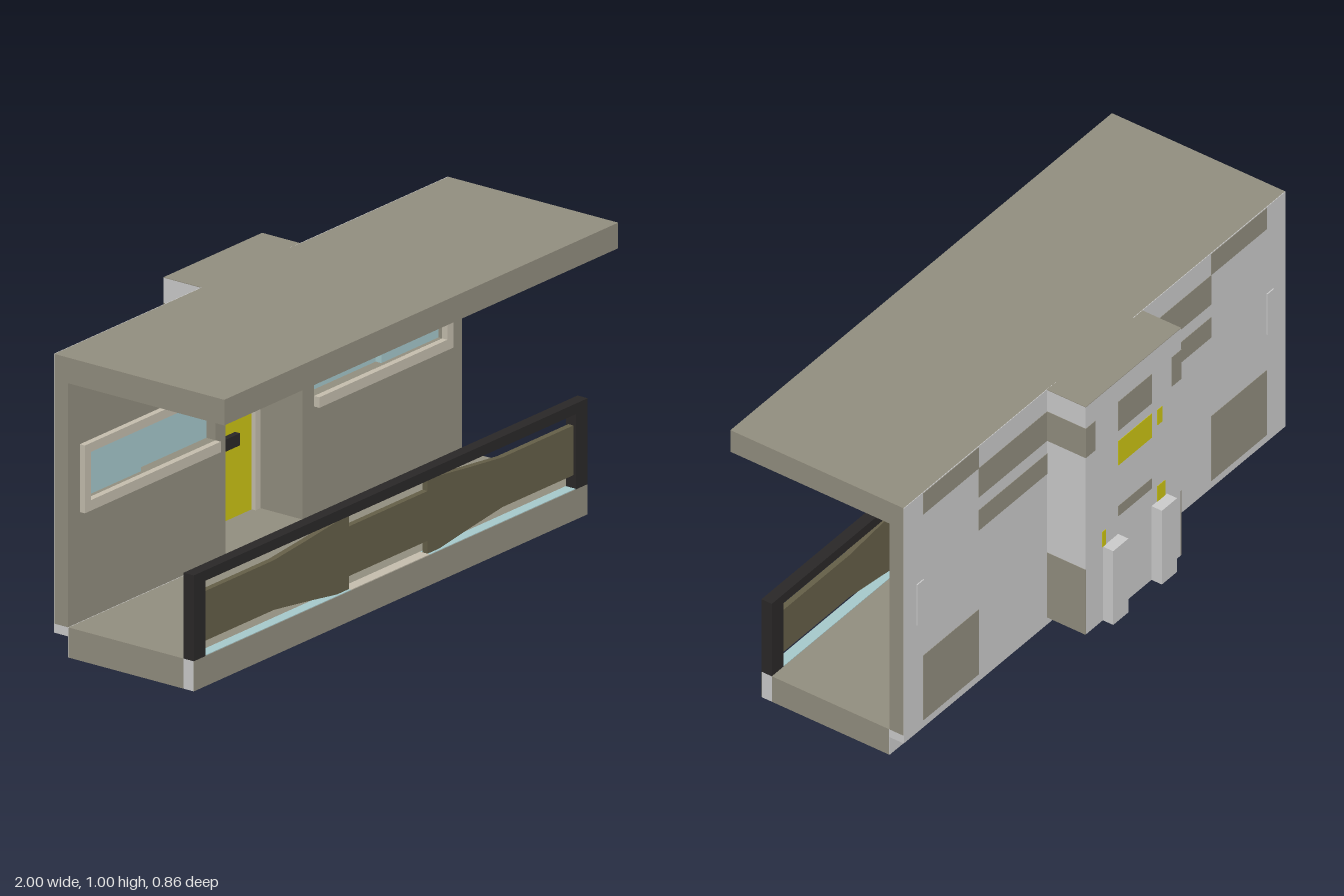
import * as THREE from 'three';

const mat = (color) => new THREE.MeshStandardMaterial({ color });
const M = {
  grey: mat(0xcccccc), brown: mat(0x928e7f), trim: mat(0xc5beae), yellow: mat(0xccc514),
  glass: mat(0xa6c9cc), black: mat(0x2a2828), panel: mat(0x655f48),
};

export function createModel() {
  const group = new THREE.Group();

  const add = (name, geo, m) => {
    const mesh = new THREE.Mesh(geo, m);
    mesh.name = name;
    group.add(mesh);
    return mesh;
  };
  // box given by its limits on each axis
  const box = (name, m, x0, x1, y0, y1, z0, z1) => {
    const g = new THREE.BoxGeometry(x1 - x0, y1 - y0, z1 - z0);
    g.translate((x0 + x1) / 2, (y0 + y1) / 2, (z0 + z1) / 2);
    return add(name, g, m);
  };
  // same box on both sides of x = 0
  const pair = (name, m, x0, x1, ...rest) => {
    box(name + 'Left', m, x0, x1, ...rest);
    box(name + 'Right', m, -x1, -x0, ...rest);
  };
  const outline = (pts, C = THREE.Shape) => new C(pts.map((p) => new THREE.Vector2(...p)));
  const rect = (x0, x1, y0, y1, C) => outline([[x0, y0], [x1, y0], [x1, y1], [x0, y1]], C);
  // outline with holes, pushed out between two z limits
  const plate = (name, m, shape, holes, z0, z1) => {
    shape.holes = holes;
    const g = new THREE.ExtrudeGeometry(shape, { depth: z1 - z0, bevelEnabled: false });
    return add(name, g.translate(0, 0, z0), m);
  };

  // deck and roof
  box('deck', M.brown, -1, 1, 0, 0.1, -0.183, 0.27);
  box('deckEdge', M.grey, -1, 1, 0, 0.1, 0.27, 0.308);
  box('deckFascia', M.brown, -1, 1, 0, 0.1, 0.308, 0.31);
  box('deckBack', M.grey, -1, 1, 0, 0.1, -0.185, -0.183);
  pair('deckStrip', M.glass, 0.2, 0.94, 0.1, 0.102, 0.27, 0.308);
  box('threshold', M.trim, -0.2, 0.2, 0.1, 0.102, 0.27, 0.308);
  box('roof', M.brown, -1, 1, 0.91, 0.995, -0.239, 0.43);

  // front wall with door and window openings
  plate('wall', M.brown, outline([[-1, 0.1], [-0.2, 0.1], [-0.2, 0.795], [0.19, 0.795],
    [0.19, 0.1], [1, 0.1], [1, 0.91], [-1, 0.91]]),
  [rect(-0.91, -0.25, 0.5, 0.66, THREE.Path), rect(0.25, 0.9, 0.5, 0.66, THREE.Path)], -0.239, -0.185);
  box('wallFoot', M.grey, -1, 1, 0.07, 0.1, -0.24, -0.185);
  pair('wallBack', M.grey, 0.2, 1, 0.1, 0.995, -0.241, -0.239);

  // windows: C-shaped trim and two staggered panes each
  for (const s of [1, -1]) {
    const side = s > 0 ? 'Left' : 'Right';
    const out = s > 0 ? 0.93 : 0.94, pane = out - 0.03;
    const span = (name, m, a, b, ...rest) =>
      box(name + side, m, Math.min(s * a, s * b), Math.max(s * a, s * b), ...rest);
    span('windowHead', M.trim, 0.25, out, 0.66, 0.69, -0.186, -0.165);
    span('windowSill', M.trim, 0.25, out, 0.465, 0.5, -0.186, -0.165);
    span('windowJamb', M.trim, pane, out, 0.5, 0.66, -0.186, -0.165);
    span('outerPane', M.glass, 0.61, pane, 0.5, 0.66, -0.225, -0.2);
    span('innerPane', M.glass, 0.25, 0.61, 0.5, 0.66, -0.238, -0.222);
  }
  pair('backHandle', M.grey, 0.9, 0.935, 0.495, 0.655, -0.245, -0.24);

  // projecting entry bay at the back
  pair('baySide', M.grey, 0.21, 0.25, 0.1, 0.993, -0.39, -0.239);
  box('bayBack', M.grey, -0.21, 0.21, 0.1, 0.993, -0.39, -0.38);
  box('bayRoof', M.brown, -0.25, 0.25, 0.993, 0.995, -0.39, -0.239);
  box('bayCeiling', M.brown, -0.21, 0.21, 0.795, 0.91, -0.38, -0.235);
  box('bayFloor', M.brown, -0.21, 0.21, 0.102, 0.108, -0.38, -0.185);
  box('liningRight', M.brown, -0.21, -0.2, 0.1, 0.795, -0.38, -0.22);
  box('liningLeft', M.brown, 0.19, 0.21, 0.1, 0.795, -0.38, -0.22);
  box('bayInnerBack', M.brown, -0.2, 0.19, 0.108, 0.795, -0.38, -0.377);
  pair('bayLowerCladding', M.brown, 0.248, 0.2515, 0.1, 0.355, -0.39, -0.241);
  pair('bayUpperCladding', M.brown, 0.248, 0.2515, 0.795, 0.91, -0.39, -0.241);

  // door, its frame and fittings
  plate('doorFrame', M.trim, outline([[-0.2, 0.1], [-0.175, 0.1], [-0.175, 0.755], [0.165, 0.755],
    [0.165, 0.1], [0.19, 0.1], [0.19, 0.795], [-0.2, 0.795]]), [], -0.377, -0.35);
  plate('door', M.yellow, rect(-0.175, 0.165, 0.1, 0.755),
    [rect(-0.095, 0.08, 0.5, 0.66, THREE.Path)], -0.377, -0.365);
  box('letterPlate', M.black, -0.095, 0.08, 0.35, 0.39, -0.365, -0.345);
  add('doorKnob', new THREE.SphereGeometry(0.014, 16, 10), M.black).position.set(-0.14, 0.48, -0.355);

  // rear piers
  box('pierRight', M.grey, -0.175, -0.095, 0.1, 0.39, -0.43, -0.39);
  box('pierLeft', M.grey, 0.08, 0.16, 0.1, 0.39, -0.43, -0.39);

  // coloured patches on the back of the wall and bay
  const wallPatches = [[0.61, 0.9, 0.91, 0.993], [0.61, 0.9, 0.1, 0.355],
    [0.25, 0.61, 0.795, 0.91], [0.25, 0.61, 0.665, 0.745]];
  for (const p of wallPatches) pair('wallPatch', M.brown, ...p, -0.2425, -0.241);
  pair('bayEdgePatch', M.brown, 0.2, 0.25, 0.795, 0.91, -0.3915, -0.39);
  const bayPatches = [[M.brown, -0.095, 0.08, 0.795, 0.91], [M.yellow, -0.095, 0.08, 0.66, 0.755],
    [M.brown, -0.095, 0.08, 0.46, 0.5], [M.yellow, -0.15, -0.125, 0.69, 0.75],
    [M.yellow, 0.145, 0.165, 0.39, 0.45], [M.yellow, -0.165, -0.125, 0.39, 0.45]];
  for (const [m, ...r] of bayPatches) box('bayPatch', m, ...r, -0.3915, -0.39);

  // railing: posts, top rail and tapered panel
  pair('railPost', M.black, 0.94, 1, 0.1, 0.385, 0.27, 0.31);
  box('topRail', M.black, -0.94, 0.94, 0.35, 0.385, 0.27, 0.31);
  const half = [[0.2, 0.31], [0.2, 0.348], [0.26, 0.344], [0.4, 0.328], [0.58, 0.31], [0.94, 0.31],
    [0.94, 0.145], [0.58, 0.145], [0.4, 0.122], [0.26, 0.102], [0.2, 0.1], [0.2, 0.145]];
  const mirrored = half.map(([x, y]) => [-x, y]).reverse();
  plate('railPanel', M.panel, outline([...half, ...mirrored]), [], 0.28, 0.3);

  return group;
}
